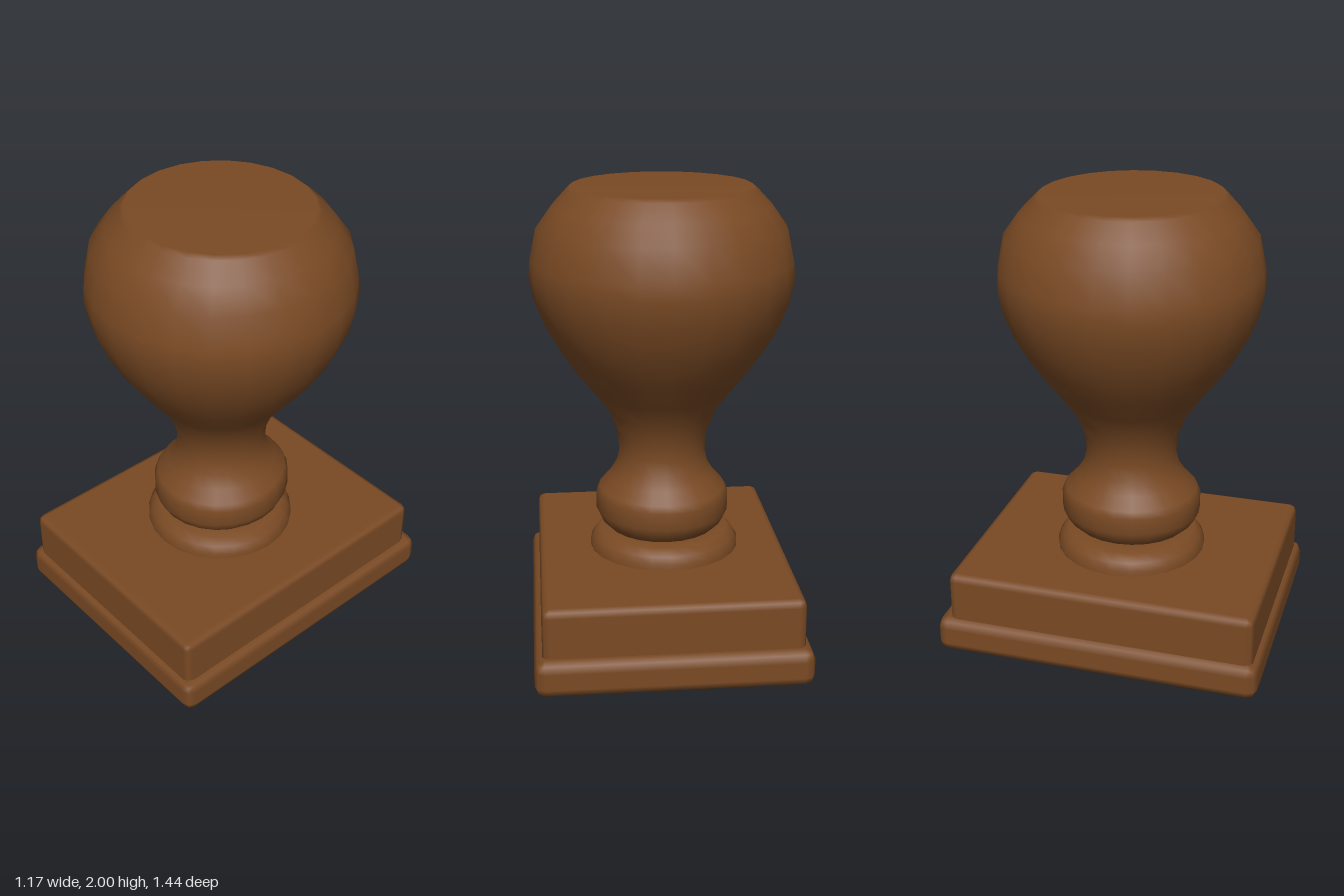
import * as THREE from 'three';
import { RoundedBoxGeometry } from 'three/addons/geometries/RoundedBoxGeometry.js';

export function createModel() {
  const model = new THREE.Group();
  model.name = 'handStamp';

  const wood = new THREE.MeshStandardMaterial({ color: 0x7a4a24 });
  wood.name = 'brownWood';

  const add = (name, geometry, x, y, z) => {
    const mesh = new THREE.Mesh(geometry, wood);
    mesh.name = name;
    mesh.position.set(x, y, z);
    model.add(mesh);
    return mesh;
  };
  const turned = (profile) =>
    new THREE.LatheGeometry(profile.map(([r, y]) => new THREE.Vector2(r, y)), 24);

  // Two stacked rectangular blocks with softened edges
  add('basePlate', new RoundedBoxGeometry(1.17, 0.16, 1.44, 1, 0.045), 0, 0.083, 0);
  add('upperBlock', new RoundedBoxGeometry(1.1, 0.285, 1.36, 1, 0.032), 0, 0.2325, 0.012);
  // Low plate fills the underside down to the ground
  add('stampFace', new THREE.BoxGeometry(1.06, 0.02, 1.33), 0, 0.01, 0);

  // Collar ring under the handle
  add('collar', turned([
    [0.333, 0.36], [0.333, 0.4], [0.315, 0.43], [0.285, 0.461], [0.2, 0.463], [0, 0.463],
  ]), -0.016, 0, 0.018);

  // Turned handle: foot, narrow neck and large bulb with a flat top
  const handle = turned([
    [0, 0.47], [0.215, 0.47], [0.245, 0.48], [0.275, 0.51], [0.295, 0.555], [0.295, 0.63],
    [0.28, 0.66], [0.235, 0.71], [0.203, 0.765], [0.19, 0.83], [0.197, 0.91], [0.235, 1.01],
    [0.3, 1.1], [0.38, 1.2], [0.45, 1.3], [0.506, 1.4], [0.55, 1.51], [0.569, 1.61],
    [0.564, 1.68], [0.535, 1.82], [0.47, 1.91], [0.403, 1.985], [0.385, 2], [0, 2],
  ]);
  // The foot and neck are slightly deeper than wide, and the top slopes gently back
  const p = handle.attributes.position;
  for (let i = 0; i < p.count; i++) {
    const y = p.getY(i), z = p.getZ(i);
    const depth = 1 + 0.06 * (1 - THREE.MathUtils.smoothstep(y, 0.8, 1.3));
    p.setZ(i, z * depth);
    if (y > 1.95) p.setY(i, y - 0.004 + z * 0.01);
  }
  handle.computeBoundingSphere();
  add('handle', handle, -0.007, 0, 0.015);

  return model;
}
